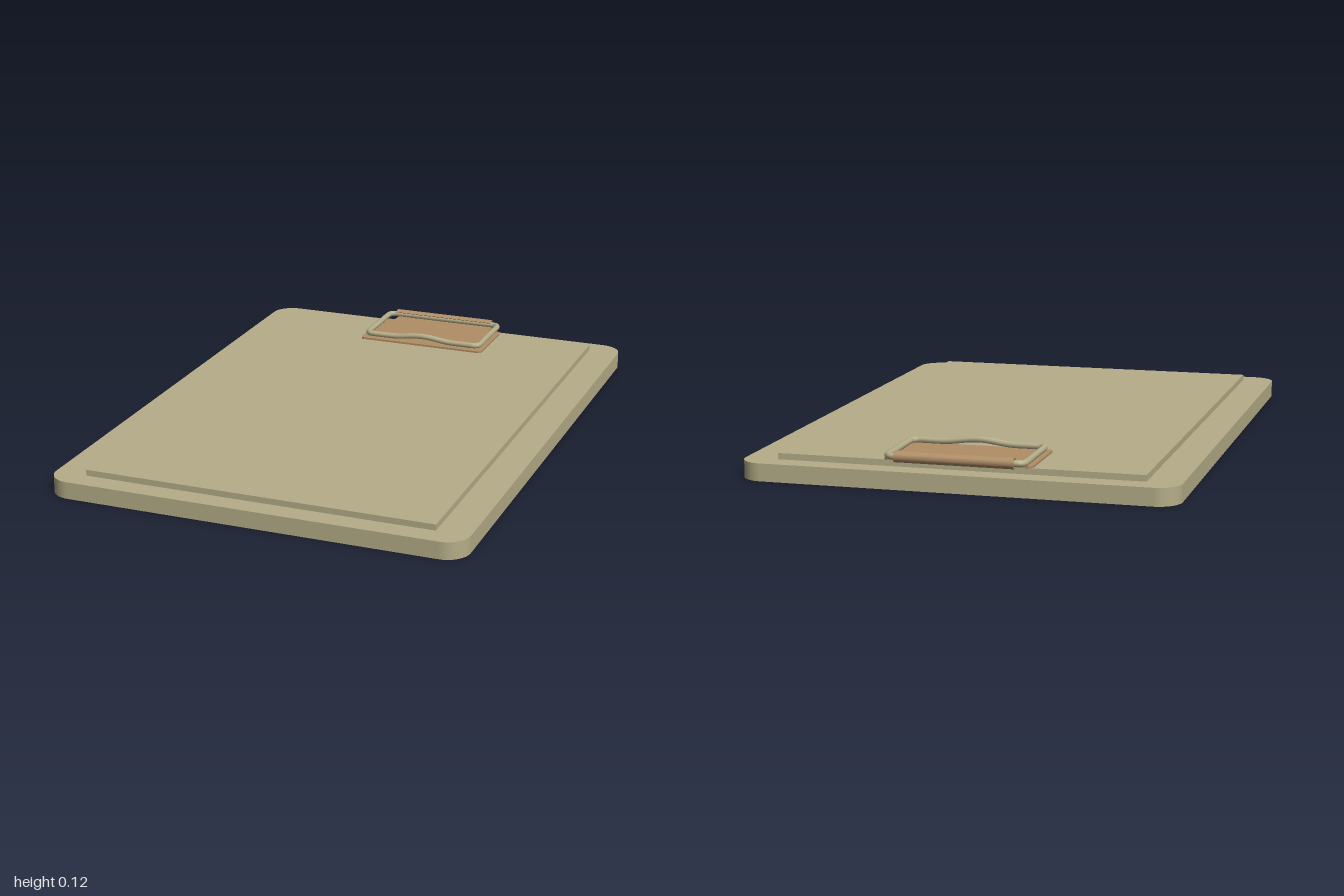
import * as THREE from 'three';

const boardMat = new THREE.MeshStandardMaterial({ color: 0xb5ad88 });
boardMat.name = 'khaki';
const clipMat = new THREE.MeshStandardMaterial({ color: 0xb08e66, side: THREE.DoubleSide });
clipMat.name = 'copper brown';

function addMesh(group, name, geometry, material) {
  const mesh = new THREE.Mesh(geometry, material);
  mesh.name = name;
  group.add(mesh);
  return mesh;
}

// Rounded rectangle in (x, -z), laid flat after extrusion
function roundedSlab(x, zBack, zFront, r, y0, y1) {
  const s = new THREE.Shape();
  const lo = -zFront, hi = -zBack;
  s.moveTo(-x + r, lo);
  s.lineTo(x - r, lo);
  s.absarc(x - r, lo + r, r, -Math.PI / 2, 0);
  s.absarc(x - r, hi - r, r, 0, Math.PI / 2);
  s.absarc(-x + r, hi - r, r, Math.PI / 2, Math.PI);
  s.absarc(-x + r, lo + r, r, Math.PI, Math.PI * 1.5);
  const g = new THREE.ExtrudeGeometry(s, { depth: y1 - y0, bevelEnabled: false, curveSegments: 10 });
  return g.rotateX(-Math.PI / 2).translate(0, y0, 0);
}

// Closed wire loop whose front bar bows upward in the middle
function wireLoop() {
  const x = 0.23, zb = -0.962, zf = -0.692, y = 0.102, r = 0.022;
  const pts = [];
  const corner = (cx, cz, start) => {
    for (let i = 0; i <= 4; i++) {
      const a = start + (i / 4) * Math.PI / 2;
      pts.push(new THREE.Vector3(cx + r * Math.cos(a), y, cz + r * Math.sin(a)));
    }
  };
  corner(x - r, zf - r, 0);
  for (let i = 1; i < 16; i++) {
    const px = (x - r) * (1 - i / 8);
    const bow = Math.abs(px) < 0.13 ? 0.006 * (1 + Math.cos(Math.PI * px / 0.13)) : 0;
    pts.push(new THREE.Vector3(px, y + bow, zf));
  }
  corner(-x + r, zf - r, Math.PI / 2);
  pts.push(new THREE.Vector3(-x, y, (zb + zf) / 2));
  corner(-x + r, zb + r, Math.PI);
  pts.push(new THREE.Vector3(0, y, zb));
  corner(x - r, zb + r, Math.PI * 1.5);
  pts.push(new THREE.Vector3(x, y, (zb + zf) / 2));
  const path = new THREE.CatmullRomCurve3(pts, true, 'centripetal');
  return new THREE.TubeGeometry(path, 160, 0.011, 10, true);
}

// Strip rolled around the wire's back bar: shape drawn in (-z, y), extruded along x
function hingeRoll() {
  const cz = 0.962, cy = 0.102, outer = 0.019, inner = 0.014;
  const s = new THREE.Shape();
  s.absarc(cz, cy, outer, -Math.PI / 2, Math.PI * 0.8, false);
  s.absarc(cz, cy, inner, Math.PI * 0.8, -Math.PI / 2, true);
  const g = new THREE.ExtrudeGeometry(s, { depth: 0.4, bevelEnabled: false, curveSegments: 16 });
  return g.translate(0, 0, -0.2).rotateY(Math.PI / 2);
}

export function createModel() {
  const model = new THREE.Group();
  model.name = 'clipboard';

  addMesh(model, 'board', roundedSlab(0.733, -1, 1, 0.08, 0, 0.06), boardMat);

  // Stack of sheets
  const sheets = new THREE.BoxGeometry(1.236, 0.022, 1.85);
  addMesh(model, 'paperStack', sheets, boardMat).position.y = 0.07;

  // Clip: flat plate, narrow tongue, rolled hinge and wire
  const clip = new THREE.Group();
  clip.name = 'clip';
  addMesh(clip, 'clipPlate', roundedSlab(0.25, -0.93, -0.67, 0.015, 0.081, 0.088), clipMat);
  const tongue = new THREE.BoxGeometry(0.4, 0.005, 0.04);
  addMesh(clip, 'clipTongue', tongue, clipMat).position.set(0, 0.0855, -0.945);
  addMesh(clip, 'hingeRoll', hingeRoll(), clipMat);
  addMesh(clip, 'clipWire', wireLoop(), boardMat);
  model.add(clip);

  return model;
}
